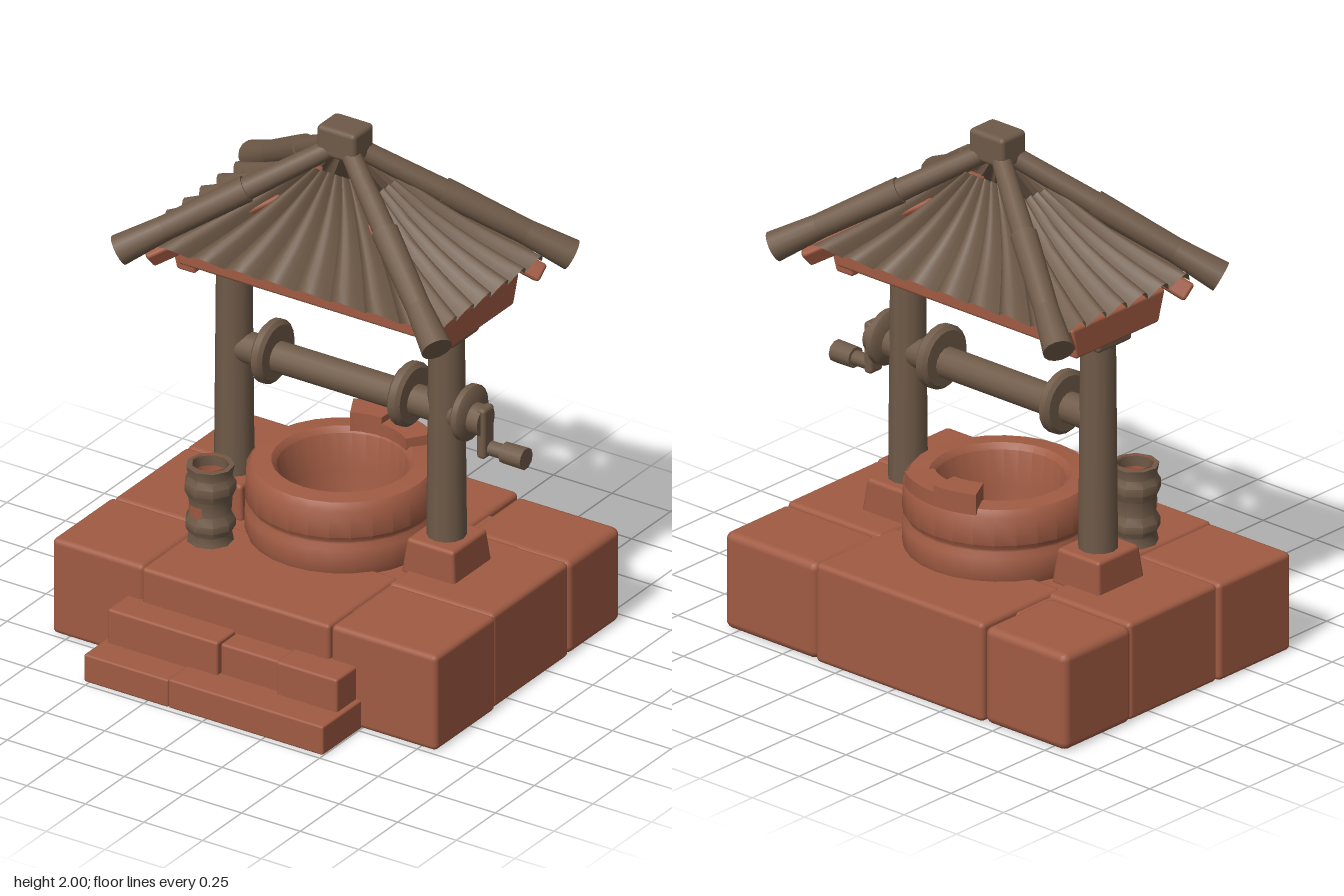
import * as THREE from 'three';
import { toCreasedNormals } from 'three/addons/utils/BufferGeometryUtils.js';
import { RoundedBoxGeometry } from 'three/addons/geometries/RoundedBoxGeometry.js';

const CZ = -0.135; // z of the posts and winch
const RZ = -0.165; // z of the roof centre
const V = (x, y, z) => new THREE.Vector3(x, y, z);

export function createModel() {
  const model = new THREE.Group();
  model.name = 'well';
  const clay = new THREE.MeshStandardMaterial({ color: 0xa05b43, side: THREE.DoubleSide });
  clay.name = 'red clay stone';
  const wood = new THREE.MeshStandardMaterial({ color: 0x6f5a48, side: THREE.DoubleSide });
  wood.name = 'brown wood';

  const add = (name, geo, mat, parent = model) => {
    const m = new THREE.Mesh(geo, mat);
    m.name = name;
    parent.add(m);
    return m;
  };
  // Rounded block given by its limits on each axis; taper narrows the top
  const block = (name, x0, x1, y0, y1, z0, z1, mat = clay, r = 0.02, taper = 1) => {
    const h = y1 - y0;
    const g = new RoundedBoxGeometry(x1 - x0, h, z1 - z0, 2, r);
    const p = g.attributes.position;
    for (let i = 0; i < p.count && taper !== 1; i++) {
      const k = 1 + (taper - 1) * (p.getY(i) / h + 0.5);
      p.setX(i, p.getX(i) * k);
      p.setZ(i, p.getZ(i) * k);
    }
    const m = add(name, g, mat);
    m.position.set((x0 + x1) / 2, (y0 + y1) / 2, (z0 + z1) / 2);
    return m;
  };
  const lathe = (name, pts, mat, seg = 24) => add(name, toCreasedNormals(
    new THREE.LatheGeometry(pts.map(([r, y]) => new THREE.Vector2(r, y)), seg), 0.7), mat);
  // Point the mesh's y axis from a to b, centred between them
  const between = (mesh, a, b) => {
    mesh.position.copy(a).add(b).multiplyScalar(0.5);
    mesh.quaternion.setFromUnitVectors(V(0, 1, 0), b.clone().sub(a).normalize());
    return mesh;
  };
  const rod = (name, a, b, ra, rb, mat = wood, seg = 14) =>
    between(add(name, new THREE.CylinderGeometry(rb, ra, a.distanceTo(b), seg), mat), a, b);

  // Platform: corner stones, middle stones and the core
  block('platformCore', -0.6, 0.6, 0.01, 0.37, -0.55, 0.35);
  block('backLeftStone', -0.82, -0.43, 0, 0.375, -0.72, -0.36, clay, 0.03);
  block('backMiddleStone', -0.43, 0.37, 0, 0.385, -0.725, -0.3, clay, 0.02);
  block('backRightStone', 0.37, 0.81, 0, 0.375, -0.72, -0.38, clay, 0.03);
  block('leftSideStone', -0.81, -0.4, 0, 0.38, -0.365, 0.105, clay, 0.02);
  block('rightSideStone', 0.36, 0.81, 0, 0.38, -0.385, 0.105, clay, 0.02);
  block('frontLeftStone', -0.82, -0.43, 0, 0.38, 0.1, 0.485, clay, 0.02);
  block('frontRightStone', 0.37, 0.82, 0, 0.38, 0.1, 0.485, clay, 0.02);
  block('frontMiddleStone', -0.43, 0.37, 0, 0.38, 0.05, 0.495, clay, 0.015);

  // Steps
  block('lowerStepLeft', -0.52, -0.16, 0, 0.11, 0.46, 0.73, clay, 0.008);
  block('lowerStepRight', -0.16, 0.5, 0, 0.115, 0.46, 0.73, clay, 0.008);
  block('upperStepLeft', -0.5, -0.03, 0.08, 0.245, 0.46, 0.61, clay, 0.01);
  block('upperStepMiddle', -0.03, 0.22, 0.08, 0.235, 0.46, 0.59, clay, 0.01);
  block('upperStepRight', 0.22, 0.48, 0.08, 0.245, 0.46, 0.61, clay, 0.01);

  // Stone ring of the well with its hollow shaft
  const ring = lathe('wellRing', [[0.34, 0.37], [0.35, 0.4], [0.35, 0.475], [0.335, 0.495],
    [0.335, 0.505], [0.35, 0.525], [0.345, 0.63], [0.325, 0.655], [0.255, 0.66],
    [0.235, 0.64], [0.22, 0.5], [0.2, 0.39], [0, 0.385]], clay, 28);
  ring.position.z = -0.15;
  // Broken top course at the back of the ring
  const arcStone = (name, a0, a1, h) => {
    const s = new THREE.Shape();
    s.absarc(0, 0, 0.348, a0, a1, false);
    s.absarc(0, 0, 0.24, a1, a0, true);
    const g = new THREE.ExtrudeGeometry(s, { depth: h, bevelEnabled: false, curveSegments: 8 });
    g.rotateX(-Math.PI / 2);
    add(name, toCreasedNormals(g, 0.6), clay).position.set(0, 0.64, -0.15);
  };
  arcStone('tallRimStone', 1.55, 2.05, 0.08);
  arcStone('lowRimStone', 0.95, 1.55, 0.055);

  // Posts with feet, caps and short studs
  for (const s of [-1, 1]) {
    const x = s * 0.453, side = s > 0 ? 'left' : 'right';
    block(side + 'PostFoot', x - 0.115, x + 0.115, 0.36, 0.5, CZ - 0.125, CZ + 0.125, clay, 0.015, 0.87);
    rod(side + 'Post', V(x, 0.45, CZ), V(x, 1.34, CZ), 0.073, 0.065, wood, 12);
    block(side + 'PostCap', x - 0.085, x + 0.085, 1.3, 1.37, CZ - 0.09, CZ + 0.09, wood, 0.015);
    block(side + 'PostStud', x - s * 0.01 - 0.045, x - s * 0.01 + 0.045, 1.34, 1.56, CZ - 0.04, CZ + 0.04, wood, 0.01);
    // Side tie beam, wider at the top
    block(side + 'TieBeam', s * 0.535 - 0.04, s * 0.535 + 0.04, 1.345, 1.47, RZ - 0.22, RZ + 0.22, clay, 0.012, 1.14);
  }
  for (const s of [-1, 1])
    block(s > 0 ? 'frontBeam' : 'backBeam', -0.56, 0.56, 1.375, 1.47,
      RZ + s * 0.2 - 0.035, RZ + s * 0.2 + 0.035, clay, 0.012);

  // Winch axle, its discs and the crank
  rod('axle', V(-0.42, 1, CZ), V(0.62, 1, CZ), 0.058, 0.058);
  for (const [x, r, w] of [[-0.29, 0.12, 0.05], [0.295, 0.12, 0.055], [0.55, 0.105, 0.045]]) {
    const d = lathe('winchDisc', [[0, -w / 2], [r - 0.015, -w / 2], [r, -w / 4], [r, w / 4],
      [r - 0.015, w / 2], [0, w / 2]], wood, 20);
    d.rotation.z = -Math.PI / 2;
    d.position.set(x, 1.015, CZ);
  }
  block('crankArm', 0.6, 0.637, 0.86, 1.06, CZ - 0.035, CZ + 0.035, wood, 0.014);
  rod('crankPin', V(0.62, 0.893, CZ - 0.008), V(0.71, 0.893, CZ - 0.008), 0.028, 0.028, wood, 10);
  rod('crankHandle', V(0.695, 0.893, CZ - 0.008), V(0.787, 0.893, CZ - 0.008), 0.04, 0.042, wood, 10);

  // Bucket with two hoops and a clay lining
  const bucket = lathe('bucket', [[0, 0.385], [0.085, 0.385], [0.078, 0.42], [0.092, 0.445],
    [0.092, 0.47], [0.076, 0.5], [0.08, 0.56], [0.094, 0.59], [0.094, 0.62], [0.08, 0.645],
    [0.088, 0.685], [0.066, 0.685], [0.066, 0.645]], wood, 9);
  const lining = lathe('bucketLining', [[0.068, 0.69], [0.062, 0.5], [0, 0.48]], clay, 9);
  for (const m of [bucket, lining]) m.position.set(-0.345, 0, 0.182);
  const patch = add('bucketPatch', new THREE.CylinderGeometry(0.083, 0.081, 0.045, 4, 1, true, -0.6, 0.8), clay);
  patch.position.set(-0.345, 0.52, 0.182);

  // Corrugated roof panel fanning from a top edge (c, d) to the eave (a, b)
  const panel = (name, a, b, c, d, waves) => {
    const cols = waves * 8, rows = 8, pos = [], idx = [];
    const n = b.clone().sub(a).cross(c.clone().sub(a)).normalize();
    for (let j = 0; j <= rows; j++) for (let i = 0; i <= cols; i++) {
      const u = i / cols, v = j / rows;
      const p = a.clone().lerp(b, u).lerp(c.clone().lerp(d, u), v);
      const w = Math.abs(Math.sin(Math.PI * waves * u)) - 0.5;
      p.addScaledVector(n, w * 0.06 * (1 - 0.55 * v) - 0.02 * Math.sin(Math.PI * v));
      pos.push(p.x, p.y, p.z);
      if (i < cols && j < rows) {
        const k = j * (cols + 1) + i, l = k + cols + 1;
        idx.push(k, k + 1, l, k + 1, l + 1, l);
      }
    }
    const g = new THREE.BufferGeometry();
    g.setAttribute('position', new THREE.Float32BufferAttribute(pos, 3));
    g.setIndex(idx);
    g.computeVertexNormals();
    add(name, toCreasedNormals(g, 0.9), wood);
  };
  for (const s of [1, -1]) {
    panel(s > 0 ? 'frontRoof' : 'backRoof',
      V(-s * 0.6, 1.49, RZ + s * 0.35), V(s * 0.6, 1.49, RZ + s * 0.35),
      V(-s * 0.12, 1.83, RZ + s * 0.075), V(s * 0.12, 1.83, RZ + s * 0.075), 8);
    panel(s > 0 ? 'leftRoof' : 'rightRoof',
      V(s * 0.635, 1.51, RZ + s * 0.33), V(s * 0.635, 1.51, RZ - s * 0.33),
      V(s * 0.17, 1.79, RZ + s * 0.11), V(s * 0.17, 1.79, RZ - s * 0.11), 6);
  }

  // Hip poles, thicker at the eaves, with clay rafters below
  for (const sx of [-1, 1]) for (const sz of [-1, 1]) {
    const at = t => V(sx * (0.03 + 0.63 * t), 1.91 - 0.415 * t, RZ + sz * (0.02 + 0.4 * t));
    rod('upperHipPole', at(0), at(0.5), 0.036, 0.044);
    rod('lowerHipPole', at(0.42), at(0.88), 0.05, 0.046);
    rod('hipPoleEnd', at(0.8), at(1.03), 0.046, 0.058);
    const a = V(sx * 0.2, 1.7, RZ + sz * 0.1), b = V(sx * 0.62, 1.435, RZ + sz * 0.33);
    between(add('rafter', new RoundedBoxGeometry(0.07, a.distanceTo(b), 0.07, 2, 0.012), clay), a, b);
  }
  block('roofFinial', -0.083, 0.083, 1.88, 2, RZ - 0.065, RZ + 0.065, wood, 0.018);

  return model;
}
